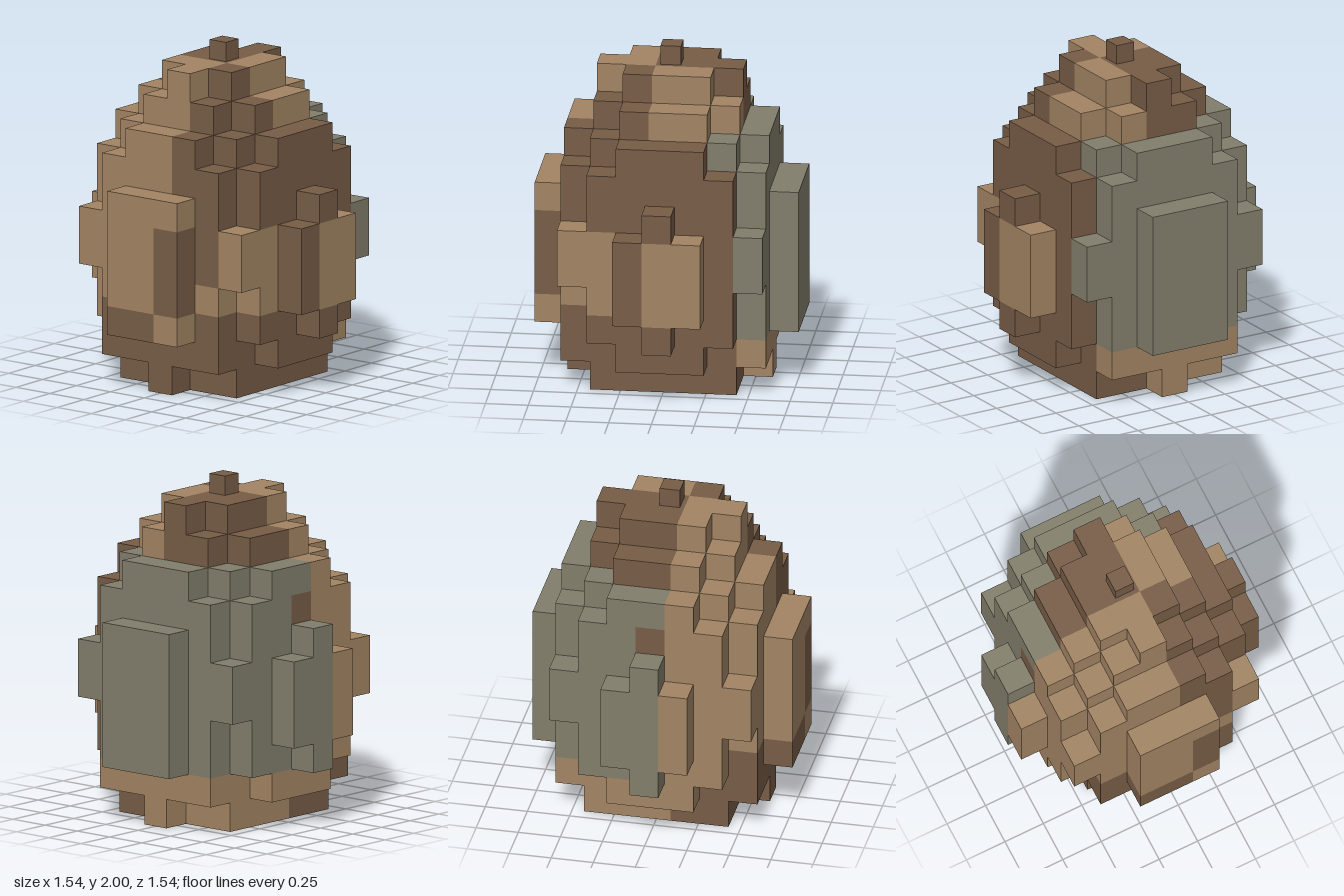
import * as THREE from 'three';
import { mergeGeometries } from 'three/addons/utils/BufferGeometryUtils.js';

const U = 0.1714; // block size
const N = 9; // blocks across, 11 layers high
const H = 11;

const material = (name, color) => Object.assign(new THREE.MeshStandardMaterial({ color }), { name });

// Block ranges of each part: [x0, x1, layer0, layer1, z0, z1], inclusive
const PARTS = {
  base: [[2, 6, 0, 0, 2, 6], [1, 7, 0, 0, 4, 4], [1, 7, 1, 1, 2, 6], [3, 5, 1, 1, 1, 7]],
  body: [
    [1, 7, 2, 7, 2, 6], [2, 6, 2, 7, 1, 7], // rounded square barrel
    [1, 7, 4, 5, 1, 7], // corner studs
    [2, 6, 8, 8, 2, 6], [1, 7, 8, 8, 3, 5], [3, 5, 8, 8, 1, 7], // shoulder
  ],
  sidePlate: [[0, 0, 2, 6, 3, 5], [8, 8, 2, 6, 3, 5]],
  frontPlate: [[3, 5, 3, 5, 8, 8], [4, 4, 2, 6, 8, 8]],
  backPlate: [[3, 5, 3, 5, 0, 0], [4, 4, 2, 6, 0, 0]],
  crown: [[3, 5, 9, 9, 2, 6], [2, 6, 9, 9, 3, 5], [3, 5, 10, 10, 3, 5], [2, 6, 10, 10, 4, 4]],
};

// Patchwork colouring of the blocks
function colourOf(x, y, z) {
  const left = x >= 4, back = z <= 4;
  if (y >= 9) return left === back ? 'brown' : 'tan';
  if (y === 0) return left && back ? 'tan' : 'brown';
  if (y === 1) return x === 7 || z === 1 || (left && back) ? 'tan' : 'brown';
  if (x === 4 && y === 7 && z === 1) return 'brown'; // lone patch on the back
  const middle = y >= 3 && y <= 5;
  if (left) {
    if (back || x >= 7 || (x === 6 && z <= 6)) return 'gray';
    return z === 8 && middle ? 'tan' : 'brown';
  }
  if (x === 0 && z === 5) return middle ? 'brown' : 'tan';
  if (x <= 1 && y === 2) return 'brown';
  if (back || (x === 0 && y === 6)) return 'tan';
  if (middle && x <= 2 && z === 7) return 'tan';
  if (x === 1 && y === 3 && z === 6) return 'tan';
  return 'brown';
}

// The six sides of a block: outward direction and the turn that aims a plane there
const SIDES = [
  [[0, 0, 1], 0, 0], [[0, 0, -1], 0, Math.PI],
  [[1, 0, 0], 0, Math.PI / 2], [[-1, 0, 0], 0, -Math.PI / 2],
  [[0, 1, 0], -Math.PI / 2, 0], [[0, -1, 0], Math.PI / 2, 0],
];

export function createModel() {
  const materials = {
    brown: material('brown', 0x775c46),
    tan: material('tan', 0xa28463),
    gray: material('gray', 0x827e6b),
  };
  const model = new THREE.Group();
  model.name = 'blockEgg';

  // Fill the grid with part names
  const grid = new Map();
  const key = (x, y, z) => (y * N + z) * N + x;
  const at = (x, y, z) =>
    Math.min(x, y, z) < 0 || x >= N || z >= N || y >= H ? undefined : grid.get(key(x, y, z));
  for (const [part, boxes] of Object.entries(PARTS))
    for (const [x0, x1, y0, y1, z0, z1] of boxes)
      for (let x = x0; x <= x1; x++)
        for (let y = y0; y <= y1; y++)
          for (let z = z0; z <= z1; z++) grid.set(key(x, y, z), part);

  // Collect the exposed block sides by part and colour
  const skins = {};
  for (let x = 0; x < N; x++)
    for (let y = 0; y < H; y++)
      for (let z = 0; z < N; z++) {
        const part = at(x, y, z);
        if (!part) continue;
        for (const [[dx, dy, dz], rx, ry] of SIDES) {
          if (at(x + dx, y + dy, z + dz)) continue;
          const face = new THREE.PlaneGeometry(U, U).rotateX(rx).rotateY(ry);
          face.translate((x - 4 + dx / 2) * U, (y + 0.5 + dy / 2) * U, (z - 4 + dz / 2) * U);
          const colours = (skins[part] ??= {});
          (colours[colourOf(x, y, z)] ??= []).push(face);
        }
      }

  for (const [part, colours] of Object.entries(skins)) {
    const group = new THREE.Group();
    group.name = part;
    for (const [colour, faces] of Object.entries(colours)) {
      const mesh = new THREE.Mesh(mergeGeometries(faces), materials[colour]);
      mesh.name = `${part} ${colour}`;
      group.add(mesh);
    }
    model.add(group);
  }

  // Small stem on top
  const stemSize = 2 - H * U;
  const stem = new THREE.Mesh(new THREE.BoxGeometry(0.12, stemSize, 0.12), materials.brown);
  stem.name = 'stem';
  stem.position.y = 2 - stemSize / 2;
  model.add(stem);
  return model;
}
